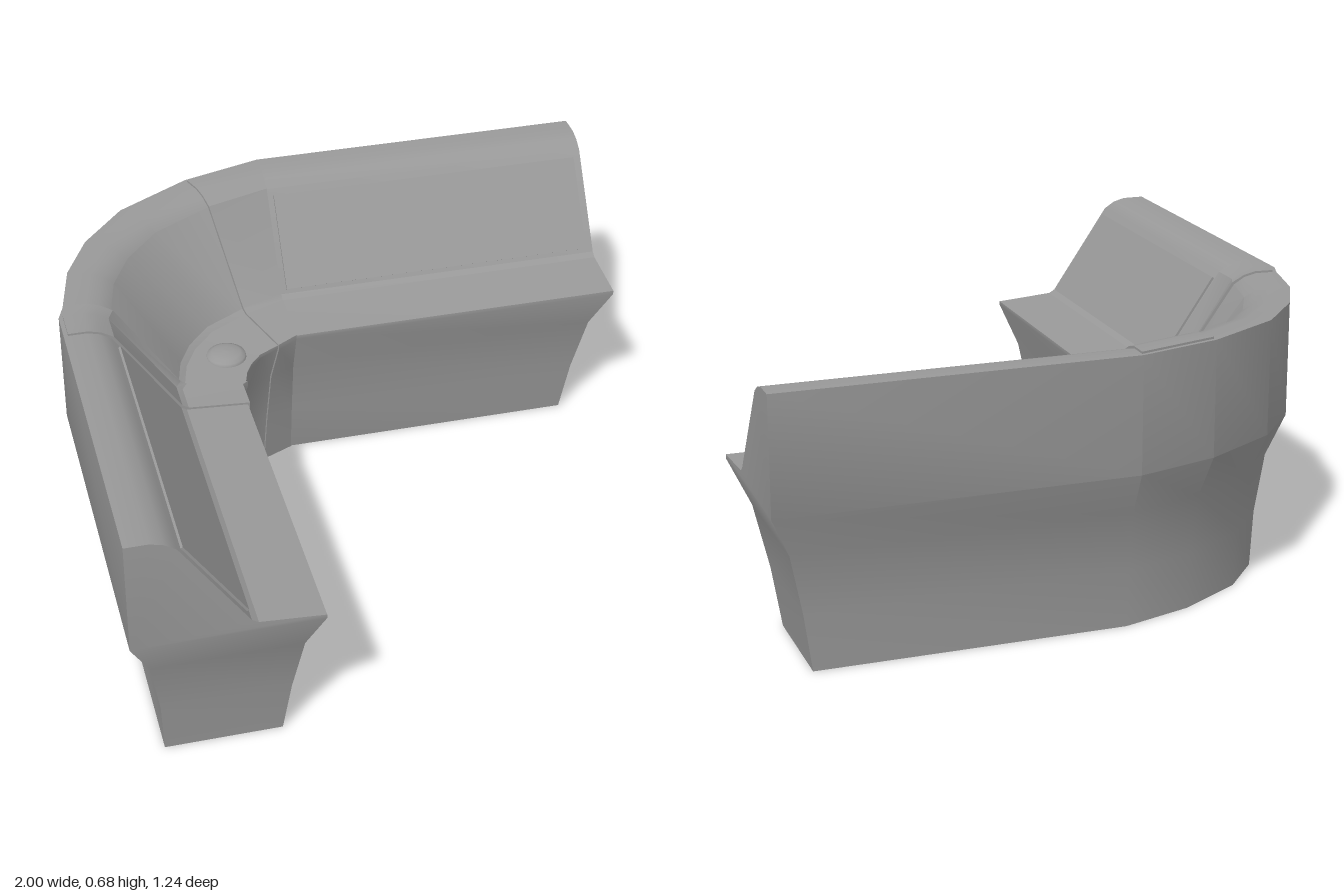
import * as THREE from 'three';
import { toCreasedNormals } from 'three/addons/utils/BufferGeometryUtils.js';

const material = new THREE.MeshStandardMaterial({ color: 0x999999 });
const INNER = 0.18;                        // radius of the bend at the front edge
const CENTRE = [-0.056, 0.02];             // centre of the bend, in arm axes
const C = Math.cos(Math.PI / 6), S = 0.5;  // arm axes are turned 30 degrees

// Station = [bend angle, arm length, radial shift]; profile point = [depth, height, end inset]
function place([deg, len, shift], [s, y, inset = 0], isTip) {
  const a = THREE.MathUtils.degToRad(deg), r = INNER + s + shift;
  const l = len - (isTip ? inset : 0);
  const u = CENTRE[0] - r * Math.cos(a) + (deg === 90 ? l : 0);
  const v = CENTRE[1] + r * Math.sin(a) - (deg === 0 ? l : 0);
  return [C * u + S * v, y, S * u - C * v];
}

// Sweeps a closed profile through the stations; the first `rows` levels of the
// end caps are joined straight from front to back.
function sweep(name, profile, stations, rows = 0) {
  const n = profile.length, m = stations.length, pos = [], idx = [];
  stations.forEach((st, i) => profile.forEach(p => pos.push(...place(st, p, i === 0 || i === m - 1))));
  for (let i = 0; i < m - 1; i++) for (let j = 0; j < n; j++) {
    const k = (j + 1) % n, a = i * n + j, b = i * n + k;
    idx.push(a, a + n, b, b, a + n, b + n);
  }
  const cap = [];
  for (let j = 0; j < rows; j++) {
    const f = j, b = n - 1 - j;
    cap.push([f, b, b - 1], [f, b - 1, f + 1]);
  }
  const order = profile.map((_, j) => j).slice(rows, n - rows).reverse();
  const outline = order.map(j => new THREE.Vector2(profile[j][0], profile[j][1]));
  THREE.ShapeUtils.triangulateShape(outline, []).forEach(t => cap.push(t.map(q => order[q])));
  const end = (m - 1) * n;
  cap.forEach(([a, b, c]) => idx.push(a, c, b, end + a, end + b, end + c));
  const geo = new THREE.BufferGeometry();
  geo.setAttribute('position', new THREE.Float32BufferAttribute(pos, 3));
  geo.setIndex(idx);
  const mesh = new THREE.Mesh(toCreasedNormals(geo, 0.43), material);
  mesh.name = name;
  return mesh;
}

export function createModel() {
  const model = new THREE.Group();
  model.name = 'curvedConsole';

  // Body: flared base, flat ledge, sloping face and flat top
  const front = [[0.08, 0, 0.1], [0.062, 0.14, 0.08], [0.038, 0.29, 0.048], [0, 0.395]];
  const upper = [[0, 0.405], [0.15, 0.416], [0.165, 0.425], [0.318, 0.65],
    [0.345, 0.667], [0.375, 0.675], [0.43, 0.675]];
  const back = [[0.43, 0.395], [0.383, 0.29, 0.048], [0.36, 0.14, 0.08], [0.353, 0, 0.1]];
  const bend = [[0, 0, 0], [4, 0, -0.014], [18.7, 0, -0.018], [32.7, 0, -0.02],
    [49, 0, -0.02], [70, 0, -0.022], [90, 0, 0]];
  model.add(sweep('body', [...front, ...upper, ...back],
    [[0, 0.87, 0], [0, 0.078, 0], ...bend, [90, 0.847, 0]], 3));

  // Joint covers, slightly proud of the front, ledge, slope and top
  const T = 0.005;
  const cover = [
    ...front.map(([s, y]) => [s - T, Math.max(y, 0.002)]),
    [-T, 0.405 + T],
    ...upper.slice(1, 4).map(([s, y]) => [s - T, y + T]),
    ...upper.slice(4, 6).map(([s, y]) => [s - T * 0.4, y + T]),
    [0.42, 0.675 + T],
    ...back.map(([s, y]) => [s - 0.01, Math.max(y, 0.002)]),
  ];
  model.add(sweep('rightJointCover', cover, [[0, 0.078, 0], ...bend.slice(0, 2)], 3));
  model.add(sweep('leftJointCover', cover, bend.slice(5), 3));

  // Thin panels on the sloping face of each arm
  const onSlope = (t, d) => [0.165 + 0.153 * t - 0.826 * d, 0.425 + 0.225 * t + 0.563 * d];
  const panel = [onSlope(0.04, -0.004), onSlope(0.04, 0.006), onSlope(0.93, 0.006), onSlope(0.93, -0.004)];
  model.add(sweep('rightPanel', panel, [[0, 0.85, 0], [0, 0.095, 0]]));
  model.add(sweep('leftPanel', panel, [[90, 0.016, 0], [90, 0.827, 0]]));

  // Low domed knob on the ledge at the bend
  const knob = new THREE.Mesh(new THREE.LatheGeometry(
    [[0.05, 0], [0.048, 0.008], [0.036, 0.014], [0.018, 0.017], [0, 0.018]]
      .map(([x, y]) => new THREE.Vector2(x, y)), 24), material);
  knob.name = 'knob';
  knob.position.set(-0.14, 0.41, -0.25);
  model.add(knob);

  return model;
}
